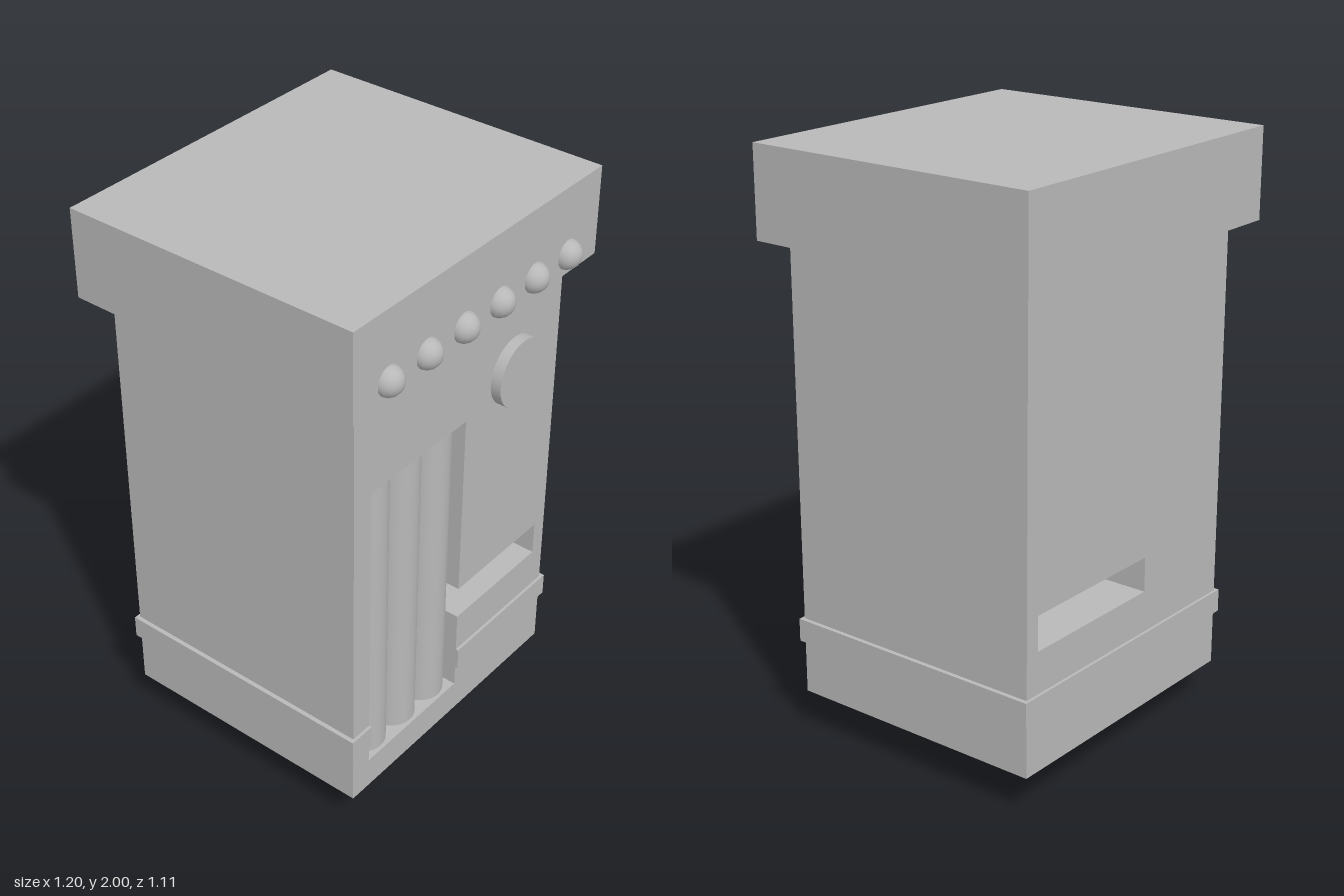
import * as THREE from 'three';

const grey = new THREE.MeshStandardMaterial({ color: 0xb8b8b8 });
grey.name = 'plain grey';

const path = (pts, Type = THREE.Shape) => new Type(pts.map(([x, y]) => new THREE.Vector2(x, y)));
const rect = (x0, y0, x1, y1) => [[x0, y0], [x1, y0], [x1, y1], [x0, y1]];

export function createModel() {
  const model = new THREE.Group();
  model.name = 'vendingMachine';

  const add = (name, geometry, x = 0, y = 0, z = 0, parent = model) => {
    const mesh = new THREE.Mesh(geometry, grey);
    mesh.name = name;
    mesh.position.set(x, y, z);
    parent.add(mesh);
    return mesh;
  };
  // Box given by its minimum and maximum corners
  const box = (name, a, b) => add(name,
    new THREE.BoxGeometry(b[0] - a[0], b[1] - a[1], b[2] - a[2]),
    (a[0] + b[0]) / 2, (a[1] + b[1]) / 2, (a[2] + b[2]) / 2);
  // Cabinet slab with an opening, running from z0 to z1
  const slab = (name, hole, z0, z1) => {
    const shape = path(rect(-0.52, 0.138, 0.515, 1.695));
    shape.holes.push(path(hole, THREE.Path));
    add(name, new THREE.ExtrudeGeometry(shape, { depth: z1 - z0, bevelEnabled: false }), 0, 0, z0);
  };

  const recessBack = 0.275, front = 0.445;

  box('base', [-0.31, 0, -0.335], [0.31, 0.138, 0.285]);
  box('topSign', [-0.6, 1.695, -0.555], [0.597, 2, 0.505]);

  // Cabinet: delivery slot runs right through, display recess only in the front slab
  slab('cabinetBack', rect(-0.1, 0.55, 0.46, 0.67), -0.49, recessBack);
  slab('cabinetFront', [[-0.44, 0.25], [0.025, 0.25], [0.025, 0.55], [0.46, 0.55],
    [0.46, 0.67], [0.025, 0.67], [0.025, 1.34], [-0.44, 1.34]], recessBack, front);

  // Trim band around the cabinet, interrupted by the recess (outline in x and -z)
  const bandShape = path([[-0.535, 0.5], [-0.535, -0.455], [-0.44, -0.455], [-0.44, -0.265],
    [0.025, -0.265], [0.025, -0.455], [0.53, -0.455], [0.53, 0.5]]);
  const band = new THREE.ExtrudeGeometry(bandShape, { depth: 0.08, bevelEnabled: false });
  add('trimBand', band.rotateX(-Math.PI / 2), 0, 0.326, 0);

  // Upright tubes standing in the recess
  const tubes = new THREE.Group();
  tubes.name = 'displayTubes';
  model.add(tubes);
  for (let i = 0; i < 3; i++) {
    add('displayTube', new THREE.CylinderGeometry(0.078, 0.078, 1.09, 32),
      -0.3625 + i * 0.155, 0.795, 0.355, tubes);
  }

  // Round button
  const button = new THREE.CylinderGeometry(0.118, 0.118, 0.045, 48).rotateX(Math.PI / 2);
  add('roundButton', button, 0.267, 1.408, 0.4595);

  // Row of faceted lamps on the sign
  const lamps = new THREE.Group();
  lamps.name = 'signLamps';
  model.add(lamps);
  for (let i = 0; i < 6; i++) {
    add('signLamp', new THREE.IcosahedronGeometry(0.05, 2), -0.443 + i * 0.176, 1.765, 0.503, lamps);
  }

  return model;
}
